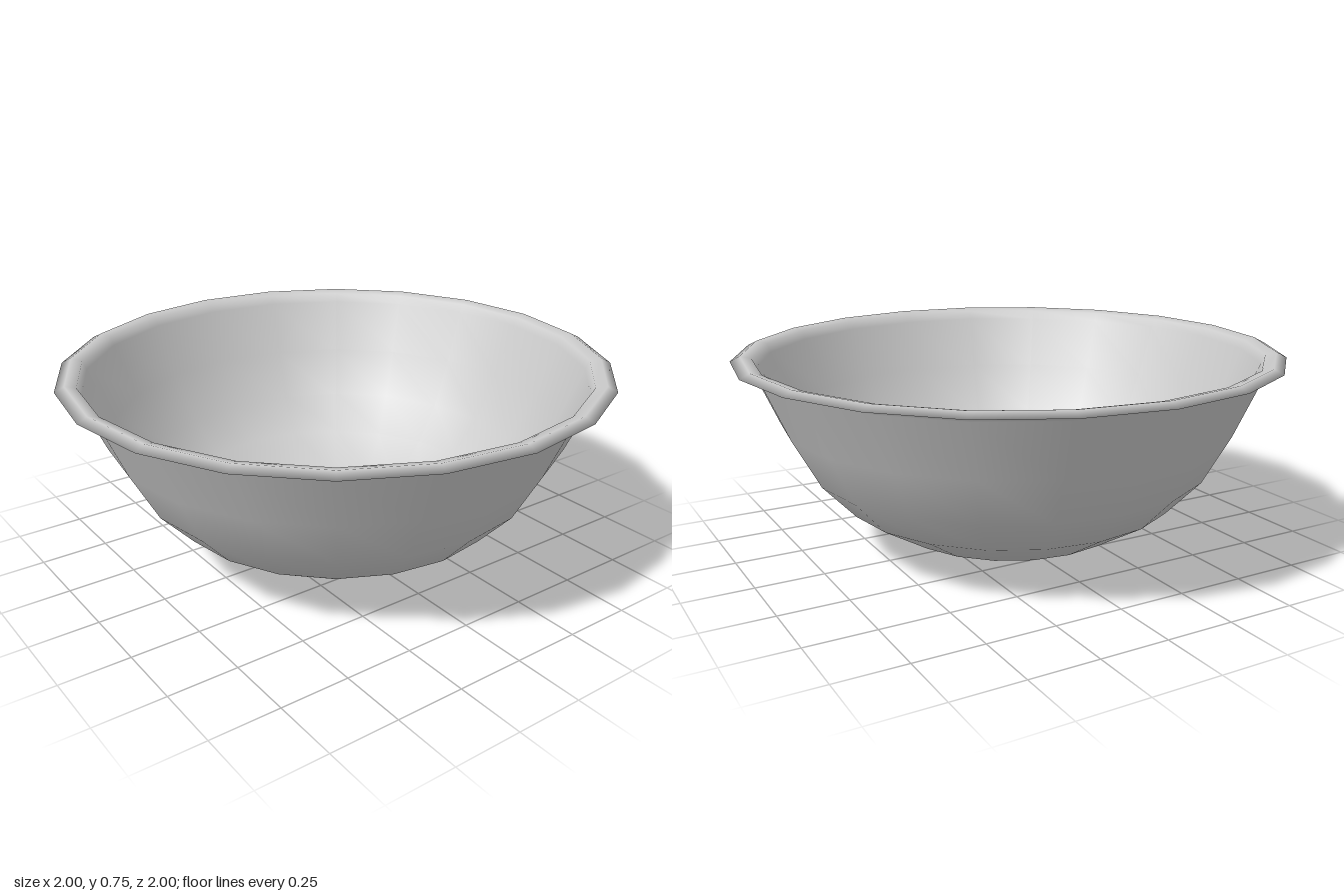
import * as THREE from 'three';

const SIDES = 20;

export function createModel() {
  const bowl = new THREE.Group();
  bowl.name = 'bowl';
  const material = new THREE.MeshStandardMaterial({ color: 0xcccccc });

  const add = (name, geometry) => {
    const mesh = new THREE.Mesh(geometry, material);
    mesh.name = name;
    bowl.add(mesh);
    return mesh;
  };

  // Wall: up the outside, over the flared rim, down the inside
  const profile = [
    [0.23, 0], [0.43, 0.075], [0.62, 0.19], [0.742, 0.32], [0.84, 0.5], [0.93, 0.705],
    [0.95, 0.722], [1, 0.73], [0.965, 0.748], [0.925, 0.738],
    [0.912, 0.705], [0.826, 0.51], [0.73, 0.332], [0.61, 0.203], [0.424, 0.088], [0.225, 0.013],
  ].map(([r, y]) => new THREE.Vector2(r, y));
  add('wallAndRim', new THREE.LatheGeometry(profile, SIDES));

  // Flat base, outside and inside
  const disc = (name, radius, y, tilt) => {
    const geometry = new THREE.CircleGeometry(radius, SIDES);
    geometry.rotateX(tilt);
    add(name, geometry).position.y = y;
  };
  disc('baseUnderside', 0.23, 0, Math.PI / 2);
  disc('innerFloor', 0.225, 0.013, -Math.PI / 2);

  return bowl;
}
